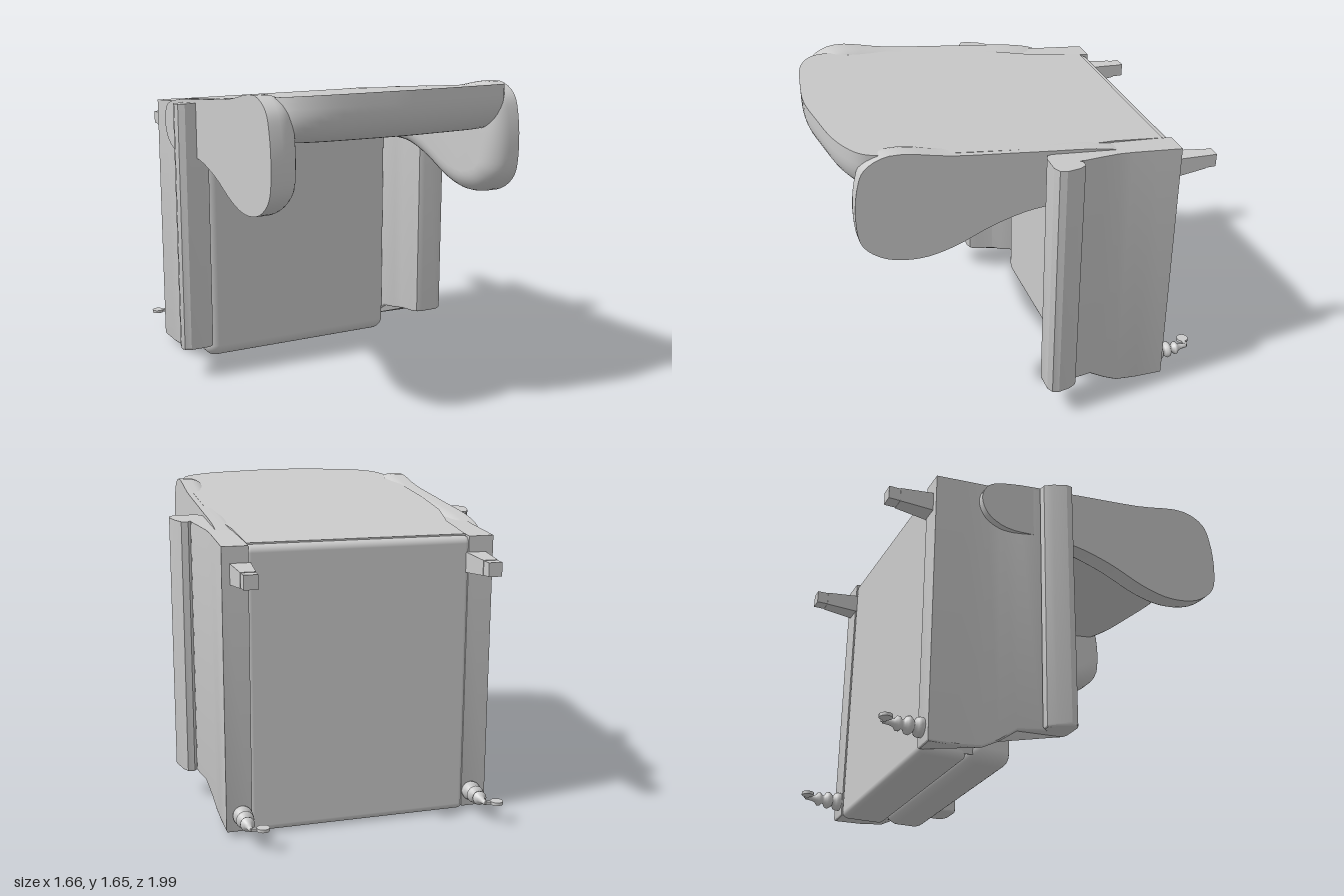
import * as THREE from 'three';
import { toCreasedNormals } from 'three/addons/utils/BufferGeometryUtils.js';
import { RoundedBoxGeometry } from 'three/addons/geometries/RoundedBoxGeometry.js';

const material = new THREE.MeshStandardMaterial({ color: 0xcccccc });

// Height of the sloping rear plane of the chair at depth z
const slopeY = (z) => 1.54 + 0.115 * z;

function addMesh(parent, name, geometry) {
  const mesh = new THREE.Mesh(geometry, material);
  mesh.name = name;
  parent.add(mesh);
  return mesh;
}

function moveVertices(geometry, rule) {
  const p = geometry.attributes.position;
  const v = new THREE.Vector3();
  for (let i = 0; i < p.count; i++) {
    v.fromBufferAttribute(p, i);
    rule(v);
    p.setXYZ(i, v.x, v.y, v.z);
  }
  return geometry;
}

// Upholstered panel: flat face at local z = 0, padded round edge on the far side
function paddedPanel(points, depth, thickness, inset) {
  const geometry = new THREE.ExtrudeGeometry(new THREE.Shape(points), {
    depth, bevelThickness: thickness, bevelSize: inset, bevelOffset: -inset, bevelSegments: 8,
  });
  return moveVertices(geometry, (v) => { v.z = Math.max(0, v.z); });
}

// Straight interpolation through [position, value] pairs
function along(pairs, t) {
  for (let i = 1; i < pairs.length; i++) {
    const [a, va] = pairs[i - 1], [b, vb] = pairs[i];
    if (t <= b) return va + (vb - va) * Math.max(0, (t - a) / (b - a));
  }
  return pairs[pairs.length - 1][1];
}

// Rolled arm: cross-section in x and z, run along y with shaped ends
const armProfile = [
  [0.56, -0.77], [0.69, -0.77], [0.69, -0.62], [0.69, -0.5], [0.695, -0.42], [0.712, -0.33], [0.735, -0.22],
  [0.735, -0.195], [0.75, -0.215], [0.785, -0.21], [0.81, -0.17], [0.83, -0.1], [0.822, -0.065], [0.79, -0.047],
  [0.69, -0.047], [0.66, -0.06], [0.645, -0.1], [0.64, -0.2], [0.61, -0.25], [0.59, -0.33], [0.57, -0.42], [0.56, -0.5],
];
const armFront = [[-0.77, 0.02], [-0.54, 0.025], [-0.5, 0.035], [-0.42, 0.075], [-0.33, 0.14], [-0.2, 0.15], [-0.05, 0.165]];
const armRear = [[-0.77, 1.452], [-0.05, 1.515]];

function armGeometry(side) {
  const b = 0.015;
  const shape = new THREE.Shape(armProfile.map(([x, z]) => new THREE.Vector2(side * x, -z)));
  const geometry = new THREE.ExtrudeGeometry(shape, {
    depth: 1, bevelThickness: b, bevelSize: b, bevelOffset: -b, bevelSegments: 3,
  });
  geometry.rotateX(-Math.PI / 2);
  moveVertices(geometry, (v) => {
    v.y = v.y < 0.5 ? along(armFront, v.z) + v.y + b : along(armRear, v.z) + Math.min(0, v.y - 1);
  });
  return toCreasedNormals(geometry, 0.5);
}

// Wing outline as z, y
const wingOutline = [
  [0.71, 1.635], [0.83, 1.58], [0.87, 1.48], [0.885, 1.3], [0.86, 1.17], [0.75, 1.08], [0.58, 1.05], [0.42, 1.08],
  [0.2, 1.17], [0, 1.22], [-0.2, 1.225], [-0.4, 1.225], [-0.5, 1.28], [-0.535, 1.37], [-0.5, 1.45], [-0.4, 1.49],
  [0, 1.54], [0.4, 1.585],
];

function wingGeometry(side) {
  const curve = new THREE.CatmullRomCurve3(
    wingOutline.map(([z, y]) => new THREE.Vector3(side * z, y, 0)), true, 'centripetal');
  const points = curve.getPoints(72).slice(0, -1).map((p) => new THREE.Vector2(p.x, p.y));
  const geometry = paddedPanel(points, 0.06, 0.105, 0.11);
  geometry.rotateY(-side * Math.PI / 2);
  geometry.translate(side > 0 ? 0.65 : -0.73, 0, 0);
  return toCreasedNormals(geometry, 0.7);
}

// Backrest with a crowned top edge
function backGeometry() {
  const crown = new THREE.SplineCurve([
    [0.62, 0.62], [0.615, 0.75], [0.57, 0.85], [0.42, 0.925], [0.2, 0.965], [0, 0.99], [-0.2, 0.975],
    [-0.45, 0.935], [-0.59, 0.86], [-0.64, 0.76], [-0.65, 0.62],
  ].map(([x, z]) => new THREE.Vector2(x, z))).getPoints(40);
  const sides = [[-0.65, 0.1], [-0.63, -0.2], [-0.57, -0.45], [-0.56, -0.72], [0.56, -0.72], [0.57, -0.45], [0.61, -0.2], [0.62, 0.1]];
  const points = [...crown, ...sides.map(([x, z]) => new THREE.Vector2(x, z))];
  const geometry = paddedPanel(points, 0.06, 0.16, 0.12);
  geometry.rotateX(Math.PI / 2);
  moveVertices(geometry, (v) => { v.y += slopeY(v.z); });
  return toCreasedNormals(geometry, 0.7);
}

// Turned leg with beads, pointing along -z
function turnedLeg(x) {
  const leg = new THREE.Group();
  const profile = [
    [0, -0.02], [0.045, -0.02], [0.05, 0.015], [0.045, 0.03], [0.025, 0.042], [0.035, 0.05], [0.046, 0.065], [0.042, 0.08],
    [0.025, 0.09], [0.022, 0.1], [0.035, 0.112], [0.036, 0.125], [0.02, 0.138], [0.014, 0.16], [0.012, 0.19], [0, 0.19],
  ].map(([r, h]) => new THREE.Vector2(r, h));
  const post = new THREE.LatheGeometry(profile, 20).rotateX(-Math.PI / 2);
  addMesh(leg, 'turnedPost', post).position.set(x, 0.11, -0.77);
  addMesh(leg, 'casterWheel', new THREE.CylinderGeometry(0.032, 0.032, 0.016, 20))
    .position.set(x - 0.06, 0.11, -0.967);
  addMesh(leg, 'casterAxle', new THREE.BoxGeometry(0.06, 0.014, 0.02)).position.set(x - 0.03, 0.11, -0.96);
  return leg;
}

// Square tapered leg with a foot block, pointing along -z
function taperedLeg(x) {
  const leg = new THREE.Group();
  const post = new THREE.BoxGeometry(0.075, 0.075, 0.19);
  moveVertices(post, (v) => { if (v.z > 0) { v.x *= 1.4; v.y *= 1.4; } });
  addMesh(leg, 'taperedPost', post).position.set(x, 1.32, -0.845);
  addMesh(leg, 'footBlock', new THREE.BoxGeometry(0.07, 0.07, 0.06)).position.set(x, 1.32, -0.97);
  return leg;
}

export function createModel() {
  const chair = new THREE.Group();
  chair.name = 'wingChair';

  addMesh(chair, 'seatBase', new RoundedBoxGeometry(1.16, 1.445, 0.24, 4, 0.035)).position.set(0, 0.727, -0.645);
  addMesh(chair, 'seatCushion', new RoundedBoxGeometry(1.18, 1.36, 0.23, 5, 0.07)).position.set(-0.01, 0.68, -0.41);
  addMesh(chair, 'backrest', backGeometry());

  for (const side of [1, -1]) {
    const label = side > 0 ? 'left' : 'right';
    addMesh(chair, label + 'Arm', armGeometry(side));
    addMesh(chair, label + 'Wing', wingGeometry(side));
    const front = turnedLeg(side * 0.61);
    front.name = label + 'FrontLeg';
    const rear = taperedLeg(side * 0.6);
    rear.name = label + 'RearLeg';
    chair.add(front, rear);
  }
  return chair;
}
